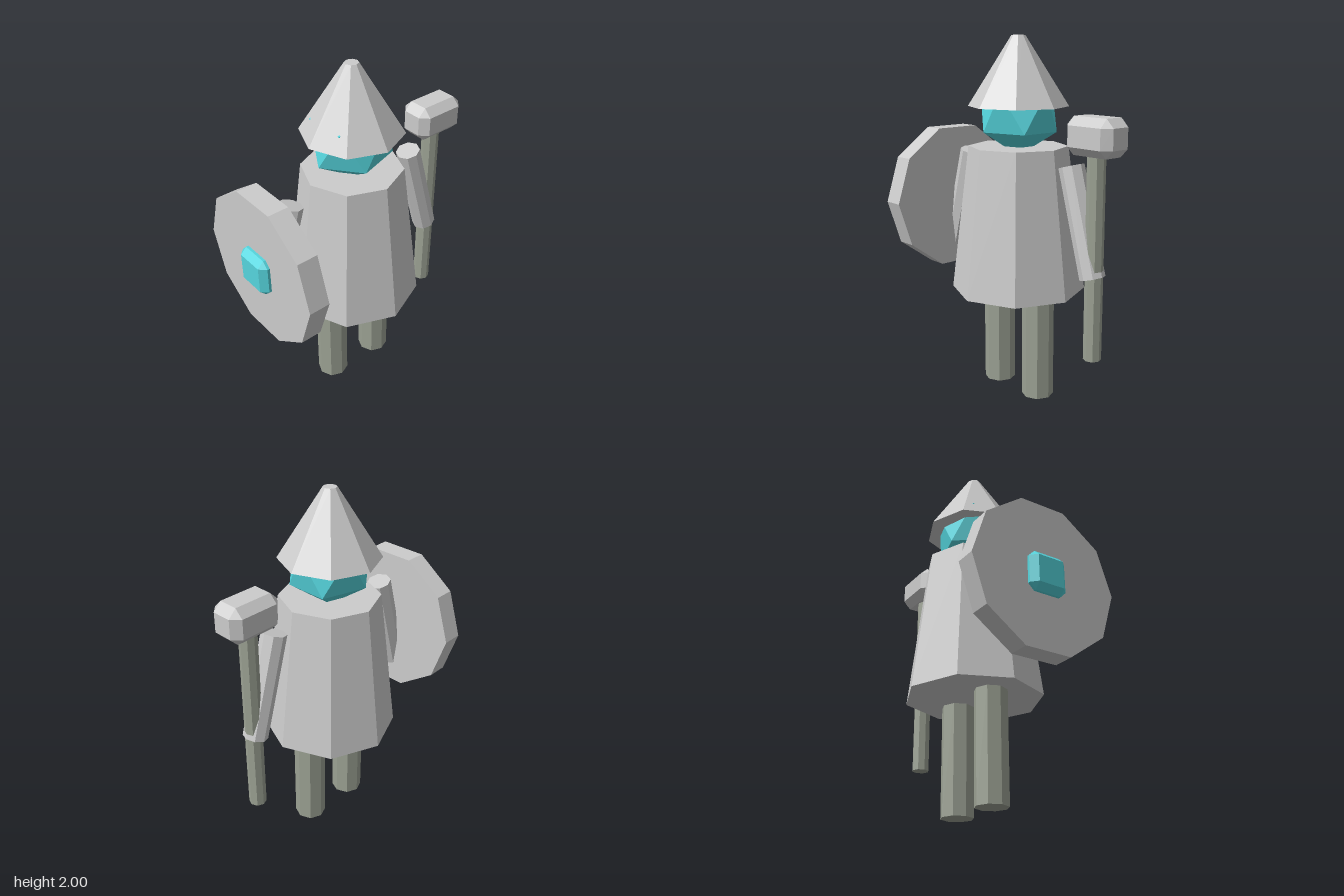
import * as THREE from 'three';
import { ConvexGeometry } from 'three/addons/geometries/ConvexGeometry.js';

const CX = -0.024, CZ = -0.02; // body axis

const paint = (color) => new THREE.MeshStandardMaterial({ color, flatShading: true });

// Box with every edge and corner cut off by c
function chamferBox(w, h, d, c) {
  const half = [w / 2, h / 2, d / 2];
  const points = [];
  for (let full = 0; full < 3; full++)
    for (const sx of [-1, 1]) for (const sy of [-1, 1]) for (const sz of [-1, 1]) {
      const p = [sx, sy, sz].map((s, i) => s * (half[i] - (i === full ? 0 : c)));
      points.push(new THREE.Vector3(...p));
    }
  return new ConvexGeometry(points);
}

export function createModel() {
  const group = new THREE.Group();
  const grey = paint(0xcccccc);
  const wood = paint(0x9ca294);
  const teal = paint(0x55d5dd);

  function add(name, geometry, material, x, y, z) {
    const mesh = new THREE.Mesh(geometry, material);
    mesh.name = name;
    mesh.position.set(x, y, z);
    group.add(mesh);
    return mesh;
  }
  const prism = (rTop, rBottom, h, sides = 8) => new THREE.CylinderGeometry(rTop, rBottom, h, sides);

  // Robe and hat
  add('robe', prism(0.275, 0.375, 0.81), grey, CX, 1.005, CZ);
  add('hat', prism(0.037, 0.275, 0.375), grey, CX, 1.8125, CZ);

  // Head: icosahedron standing on a corner
  const head = new THREE.IcosahedronGeometry(0.245, 0);
  head.rotateX(-Math.atan((1 + Math.sqrt(5)) / 2));
  head.rotateY(Math.PI / 2);
  head.scale(1, 1, 0.92);
  add('head', head, teal, CX, 1.6, CZ);

  // Legs and arms, mirrored about the body axis
  for (const [side, s] of [['left', 1], ['right', -1]]) {
    add(side + 'Leg', prism(0.089, 0.089, 0.61), wood, CX + s * 0.162, 0.305, CZ);
    const arm = add(side + 'Arm', prism(0.068, 0.068, 0.587), grey, CX + s * 0.484, 1.063, CZ);
    arm.rotation.z = s * 0.278;
  }

  // Hammer in the left hand
  add('hammerHandle', prism(0.048, 0.048, 1.1), wood, 0.55, 0.89, CZ);
  add('hammerHead', chamferBox(0.302, 0.195, 0.195, 0.044), grey, 0.549, 1.512, CZ);

  // Shield with its boss on the right arm
  const shield = prism(0.432, 0.432, 0.117, 10);
  shield.rotateZ(Math.PI / 2);
  add('shield', shield, grey, -0.6, 1.061, -0.003);
  add('shieldBoss', chamferBox(0.107, 0.218, 0.218, 0.034), teal, -0.6535, 1.061, -0.003);

  return group;
}
